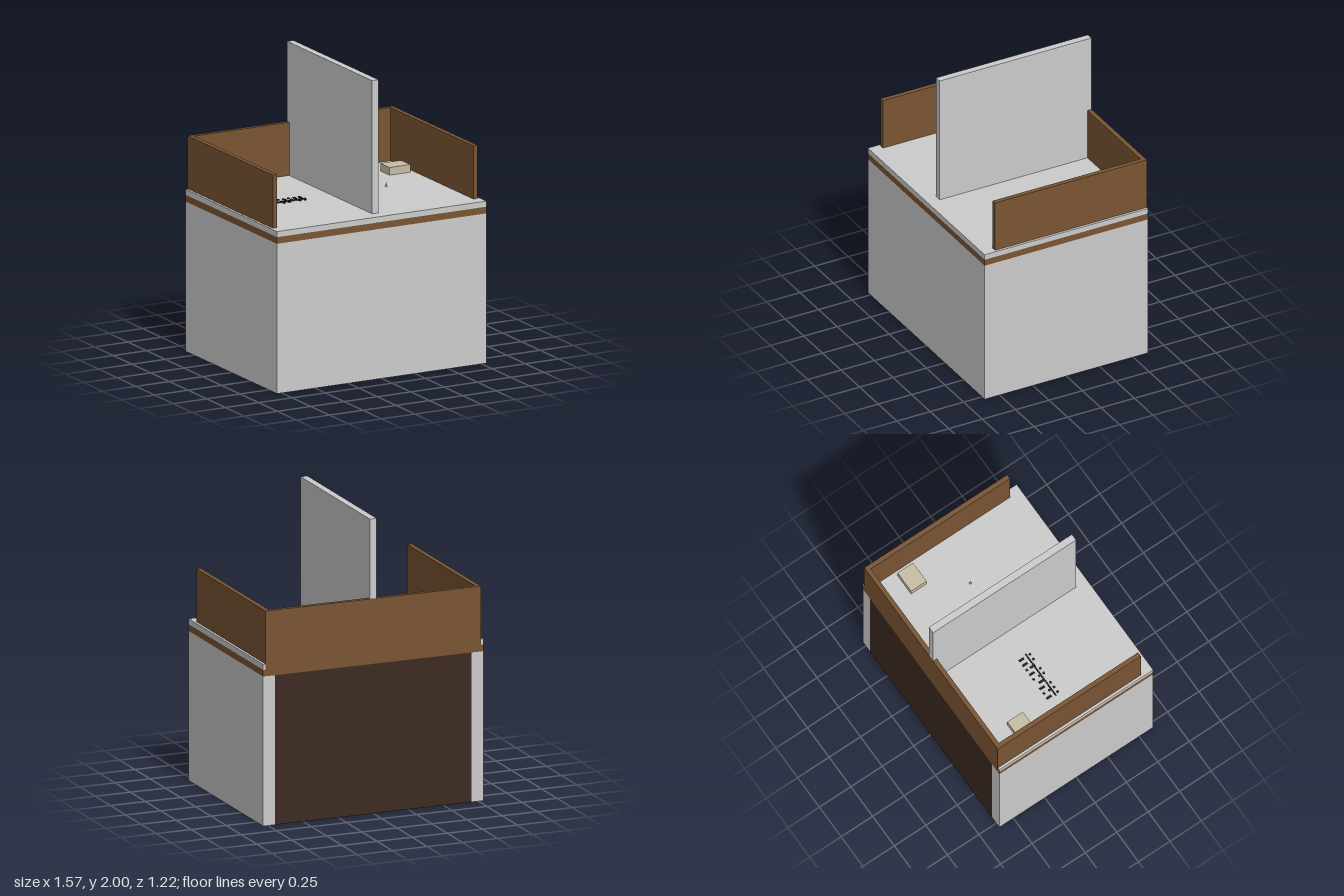
import * as THREE from 'three';

const mat = (name, color) => {
  const m = new THREE.MeshStandardMaterial({ color });
  m.name = name;
  return m;
};

export function createModel() {
  const model = new THREE.Group();
  const grey = mat('light grey', 0xcccccc);
  const wood = mat('wood brown', 0x7a5533);
  const dark = mat('dark brown', 0x3b2a20);
  const beige = mat('beige', 0xc8bea6);
  const ink = mat('near black', 0x2a1f18);

  // Box given by its lower and upper limits on each axis
  const box = (name, material, [x0, x1], [y0, y1], [z0, z1], parent = model) => {
    const mesh = new THREE.Mesh(new THREE.BoxGeometry(x1 - x0, y1 - y0, z1 - z0), material);
    mesh.position.set((x0 + x1) / 2, (y0 + y1) / 2, (z0 + z1) / 2);
    mesh.name = name;
    parent.add(mesh);
    return mesh;
  };

  // Counter base: three outer walls around a dark core open to the back
  const W = 0.785, D = 0.612, T = 0.085, baseTop = 1.015;
  box('frontWall', grey, [-W, W], [0, baseTop], [D - T, D]);
  for (const s of [-1, 1]) {
    const xs = [s * W, s * (W - T)].sort((a, b) => a - b);
    box(s < 0 ? 'rightWall' : 'leftWall', grey, xs, [0, baseTop], [-D, D - T]);
  }
  box('core', dark, [T - W, W - T], [0, baseTop], [-D, D - T]);

  // Worktop: wooden band under a grey slab
  const top = 1.098;
  box('woodBand', wood, [-W, W], [baseTop, 1.06], [-D, D]);
  box('slab', grey, [-W, W], [1.06, top], [-D, D]);

  // Wooden screens on three sides, and the tall divider
  const screenTop = 1.458, frontEnd = 0.525;
  box('backScreen', wood, [-0.768, 0.768], [1.06, screenTop], [-D - 0.001, -0.582]);
  for (const s of [-1, 1]) {
    const xs = [s * 0.768, s * 0.736].sort((a, b) => a - b);
    box(s < 0 ? 'rightScreen' : 'leftScreen', wood, xs, [top, screenTop], [-0.582, frontEnd]);
  }
  box('divider', grey, [-0.024, 0.024], [top, 2], [-D, frontEnd]);

  // Small blocks on the worktop
  for (const x of [-0.633, 0.629]) {
    box('block', beige, [x - 0.078, x + 0.078], [top, 1.15], [-0.39, -0.266]);
  }

  // Counting frame: one bar crossed by nine columns of beads
  const frame = new THREE.Group();
  frame.name = 'countingFrame';
  model.add(frame);
  box('bar', ink, [-0.57, -0.22], [top, 1.106], [-0.017, -0.008], frame);
  const tall = [-0.076, -0.038], short = [-0.076, -0.062], near = [0.004, 0.017];
  const columns = [
    [tall, near],
    [short, [-0.034, -0.02], near],
    [tall, near],
    [[-0.055, -0.008]],
    [short, [-0.03, -0.02], near],
    [tall, near],
    [short, [-0.042, -0.004]],
    [tall, near],
    [tall, near],
  ];
  columns.forEach((beads, i) => {
    const x = -0.553 + i * 0.0395;
    for (const z of beads) box('bead', ink, [x - 0.007, x + 0.007], [top, 1.105], z, frame);
  });

  // Tiny pointed peg
  const peg = new THREE.Mesh(new THREE.ConeGeometry(0.008, 0.034, 12), beige);
  peg.position.set(0.392, top + 0.017, -0.028);
  peg.name = 'peg';
  model.add(peg);

  return model;
}
